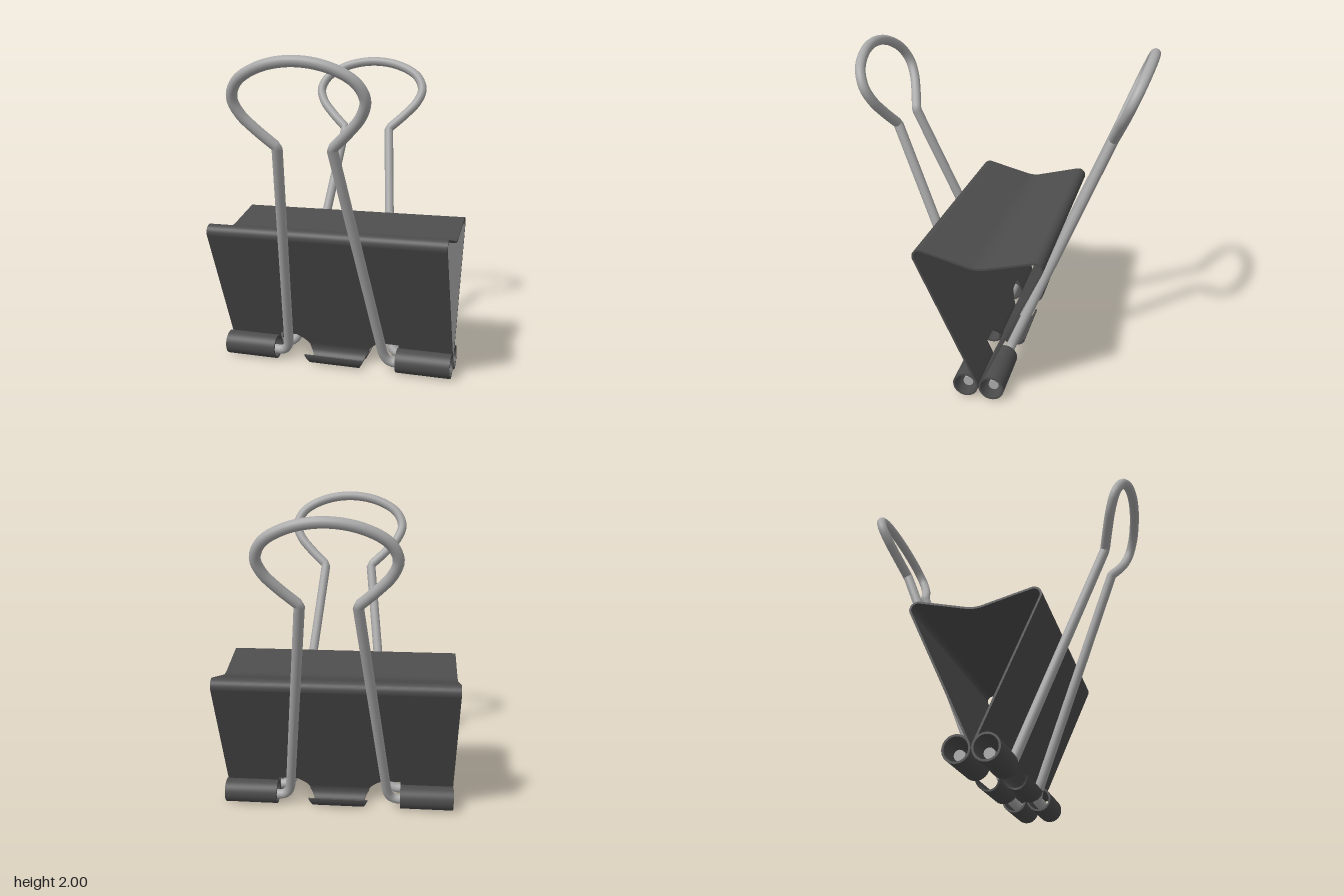
import * as THREE from 'three';

const steel = new THREE.MeshStandardMaterial({ color: 0x4c4c4c });
steel.name = 'dark steel';
const wire = new THREE.MeshStandardMaterial({ color: 0xa9a9a9 });
wire.name = 'silver wire';

const THICK = 0.012, HALF = 0.76, CUT_X = 0.41, CUT_Y = 0.17, WIRE_R = 0.031;
const RAD = Math.PI / 180;

// Profile points are Vector2(z, y)
function arc(cz, cy, r, from, to, n) {
  return Array.from({ length: n + 1 }, (_, i) => {
    const t = from + (to - from) * i / n;
    return new THREE.Vector2(cz + r * Math.cos(t), cy + r * Math.sin(t));
  });
}

// Thin bent plate following a profile; range(y) gives its x extent on each row
function sheet(name, pts, range) {
  const n = pts.length - 1;
  const geo = new THREE.BoxGeometry(1, 1, 1, 1, 1, n);
  const pos = geo.attributes.position;
  for (let i = 0; i < pos.count; i++) {
    const k = Math.round((pos.getZ(i) + 0.5) * n);
    const p = pts[k];
    const t = pts[Math.min(k + 1, n)].clone().sub(pts[Math.max(k - 1, 0)]).normalize();
    const off = pos.getY(i) * THICK;
    const [a, b] = range(p.y);
    pos.setXYZ(i, pos.getX(i) < 0 ? a : b, p.y + t.x * off, p.x - t.y * off);
  }
  geo.computeVertexNormals();
  const mesh = new THREE.Mesh(geo, steel);
  mesh.name = name;
  return mesh;
}

function createBody() {
  const body = new THREE.Group();
  body.name = 'body';
  const curl = new THREE.Vector2(0.08, 0.078), curlR = 0.072;
  const corner = new THREE.Vector2(0.335, 0.91), cornerR = 0.042;

  // Wall angle: tangent to the inside of the curl and the outside of the corner
  const d = corner.clone().sub(curl);
  const lean = Math.atan2(d.x, d.y) + Math.asin((curlR + cornerR) / d.length());
  const low = arc(curl.x, curl.y, curlR, Math.PI - lean, Math.PI, 1)[0];
  const cut = new THREE.Vector2(low.x + (CUT_Y - low.y) * Math.tan(lean), CUT_Y);

  // Walls, rounded shoulders and dipped spine
  const slope = 14.5 * RAD;
  const shoulder = arc(corner.x, corner.y, cornerR, -lean, Math.PI / 2 + slope, 16);
  const end = shoulder[shoulder.length - 1];
  const dipR = 0.2, dipZ = dipR * Math.sin(slope);
  const dipY = end.y - (end.x - dipZ) * Math.tan(slope) + dipR * Math.cos(slope);
  const dip = arc(0, dipY, dipR, -Math.PI / 2 + slope, -Math.PI / 2 - slope, 12);
  const front = [cut, ...shoulder];
  const back = front.map(p => new THREE.Vector2(-p.x, p.y)).reverse();
  body.add(sheet('shell', [...front, ...dip, ...back], () => [-HALF, HALF]));

  // Hinge curls and centre tab on each side
  const wall = Array.from({ length: 8 }, (_, i) => cut.clone().lerp(low, i / 8));
  const a0 = Math.PI - lean;
  const curlPts = [cut, ...arc(curl.x, curl.y, curlR, a0, a0 + 352 * RAD, 40)];
  const tabPts = [...wall, ...arc(curl.x, curl.y, curlR, a0, 356 * RAD, 24)];
  const tabHalf = y => 0.16 + 0.5 * Math.min(y, 0.08)
    + 0.09 * Math.pow(Math.max(0, (y - 0.08) / 0.09), 2);
  for (const side of ['front', 'back']) {
    const hinge = new THREE.Group();
    hinge.name = side + 'Hinge';
    hinge.add(
      sheet('leftCurl', curlPts, () => [CUT_X, HALF]),
      sheet('rightCurl', curlPts, () => [-HALF, -CUT_X]),
      sheet('centreTab', tabPts, y => [-tabHalf(y), tabHalf(y)]));
    if (side === 'back') hinge.rotation.y = Math.PI;
    body.add(hinge);
  }
  return body;
}

// Bent wire lever, leaning outwards from its hinge
function createHandle(name) {
  const handle = new THREE.Group();
  handle.name = name;
  const v = (x, y) => new THREE.Vector3(x, y, 0.08 + (y - 0.06) * 0.408);
  const footX = 0.7;
  const path = new THREE.CurvePath();
  const leg = s => [
    new THREE.LineCurve3(v(s * footX, 0.06), v(s * 0.4, 0.06)),
    new THREE.QuadraticBezierCurve3(v(s * 0.4, 0.06), v(s * 0.328, 0.06), v(s * 0.318, 0.16)),
    new THREE.LineCurve3(v(s * 0.318, 0.16), v(s * 0.16, 1.5)),
  ];
  const flip = c => c instanceof THREE.LineCurve3
    ? new THREE.LineCurve3(c.v2, c.v1)
    : new THREE.QuadraticBezierCurve3(c.v2, c.v1, c.v0);
  const half = [[0.16, 1.5], [0.27, 1.6], [0.345, 1.685], [0.374, 1.77], [0.33, 1.86], [0.19, 1.937]];
  const loop = new THREE.CatmullRomCurve3([
    ...half.map(([x, y]) => v(x, y)), v(0, 1.967),
    ...half.map(([x, y]) => v(-x, y)).reverse(),
  ]);
  path.curves.push(...leg(1), loop, ...leg(-1).reverse().map(flip));
  const rod = new THREE.Mesh(new THREE.TubeGeometry(path, 260, WIRE_R, 16), wire);
  rod.name = 'wireLoop';
  handle.add(rod);

  // Flat wire ends
  for (const s of [1, -1]) {
    const cap = new THREE.Mesh(new THREE.CircleGeometry(WIRE_R, 16), wire);
    cap.name = s > 0 ? 'leftWireEnd' : 'rightWireEnd';
    cap.position.copy(v(s * footX, 0.06));
    cap.rotation.y = s * Math.PI / 2;
    handle.add(cap);
  }
  return handle;
}

export function createModel() {
  const model = new THREE.Group();
  model.name = 'binderClip';
  const back = createHandle('backHandle');
  back.rotation.y = Math.PI;
  model.add(createBody(), createHandle('frontHandle'), back);
  return model;
}
